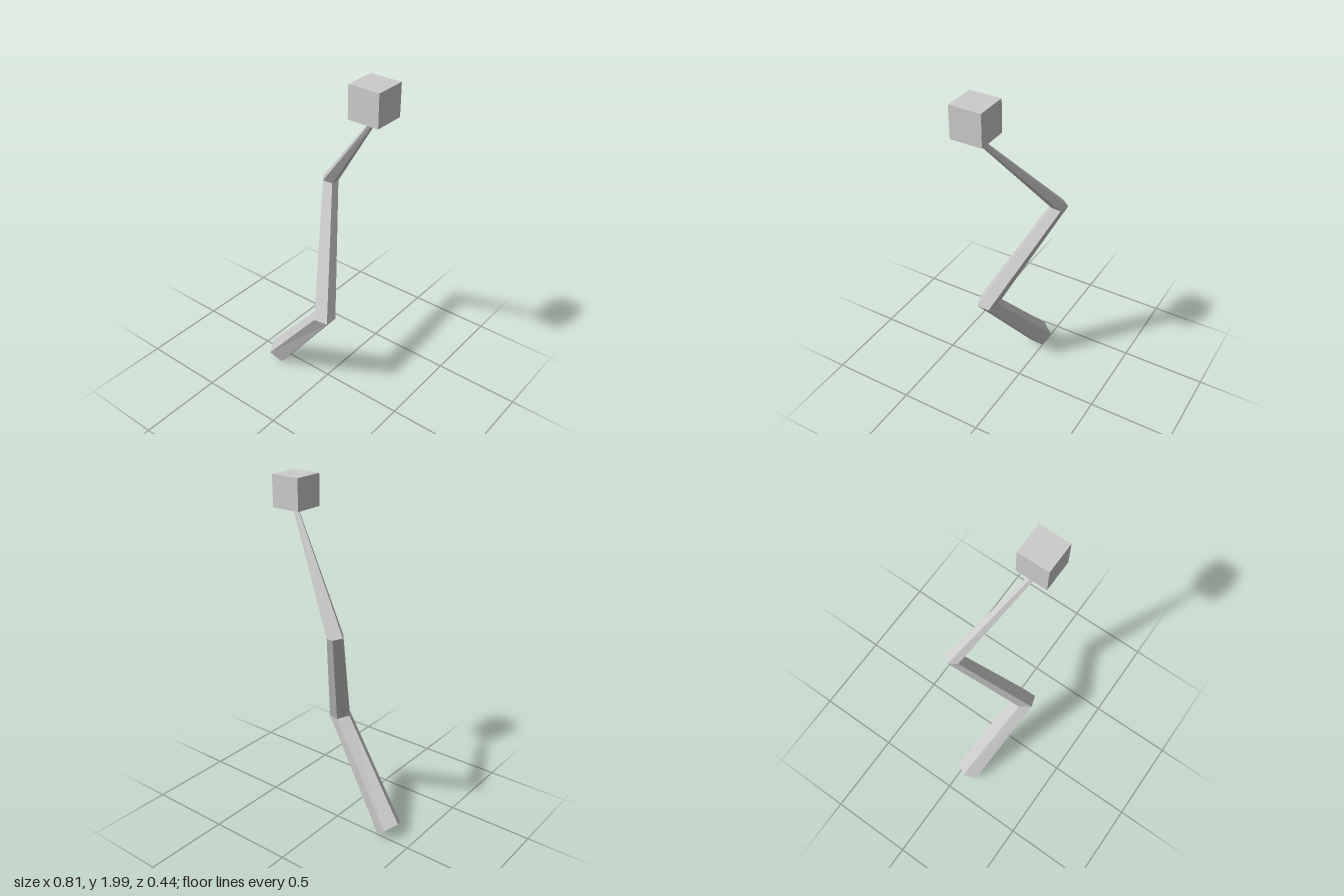
import * as THREE from 'three';

const SIDES = 5;

// Each ring of the arm: centre, radius, and two in-plane directions
const RINGS = [
  { c: [-0.345, 0.048, 0.044], r: 0.077, u: [-0.77, 0.64, 0], v: [-0.1, -0.07, 0.99] },
  { c: [0.098, 0.6, 0.155], r: 0.064, u: [-0.99, 0.16, 0], v: [0, 0.06, 1] },
  { c: [-0.125, 1.257, -0.175], r: 0.047, u: [-0.98, 0.17, 0], v: [0, 0.05, 1] },
  { c: [0.313, 1.808, 0.044], r: 0.014, u: [-0.77, 0.64, 0], v: [-0.2, -0.23, 0.95] },
];

function ringPoints({ c, r, u, v }) {
  const centre = new THREE.Vector3(...c);
  const U = new THREE.Vector3(...u).normalize();
  const V = new THREE.Vector3(...v).normalize();
  return Array.from({ length: SIDES }, (_, k) => {
    const a = (k / SIDES) * Math.PI * 2;
    return centre.clone().addScaledVector(U, r * Math.cos(a)).addScaledVector(V, r * Math.sin(a));
  });
}

// Closed, faceted skin joining the rings
function armGeometry() {
  const rings = RINGS.map(ringPoints);
  const pts = [];
  for (let i = 0; i < rings.length - 1; i++) {
    const a = rings[i], b = rings[i + 1];
    for (let k = 0; k < SIDES; k++) {
      const n = (k + 1) % SIDES;
      pts.push(a[k], a[n], b[n], a[k], b[n], b[k]);
    }
  }
  // End caps
  const first = rings[0], last = rings[rings.length - 1];
  for (let k = 1; k < SIDES - 1; k++) {
    pts.push(first[0], first[k + 1], first[k]);
    pts.push(last[0], last[k], last[k + 1]);
  }
  const geometry = new THREE.BufferGeometry().setFromPoints(pts);
  geometry.computeVertexNormals();
  return geometry;
}

export function createModel() {
  const group = new THREE.Group();
  group.name = 'bentArmWithCube';
  const grey = new THREE.MeshStandardMaterial({ color: 0xcccccc });
  grey.name = 'lightGrey';

  // Zigzag tapering arm
  const arm = new THREE.Mesh(armGeometry(), grey);
  arm.name = 'bentArm';
  group.add(arm);

  // Cube floating above the tip
  const cube = new THREE.Mesh(new THREE.BoxGeometry(0.175, 0.175, 0.175), grey);
  cube.name = 'tipCube';
  cube.position.set(0.315, 1.9125, 0.046);
  group.add(cube);

  return group;
}
